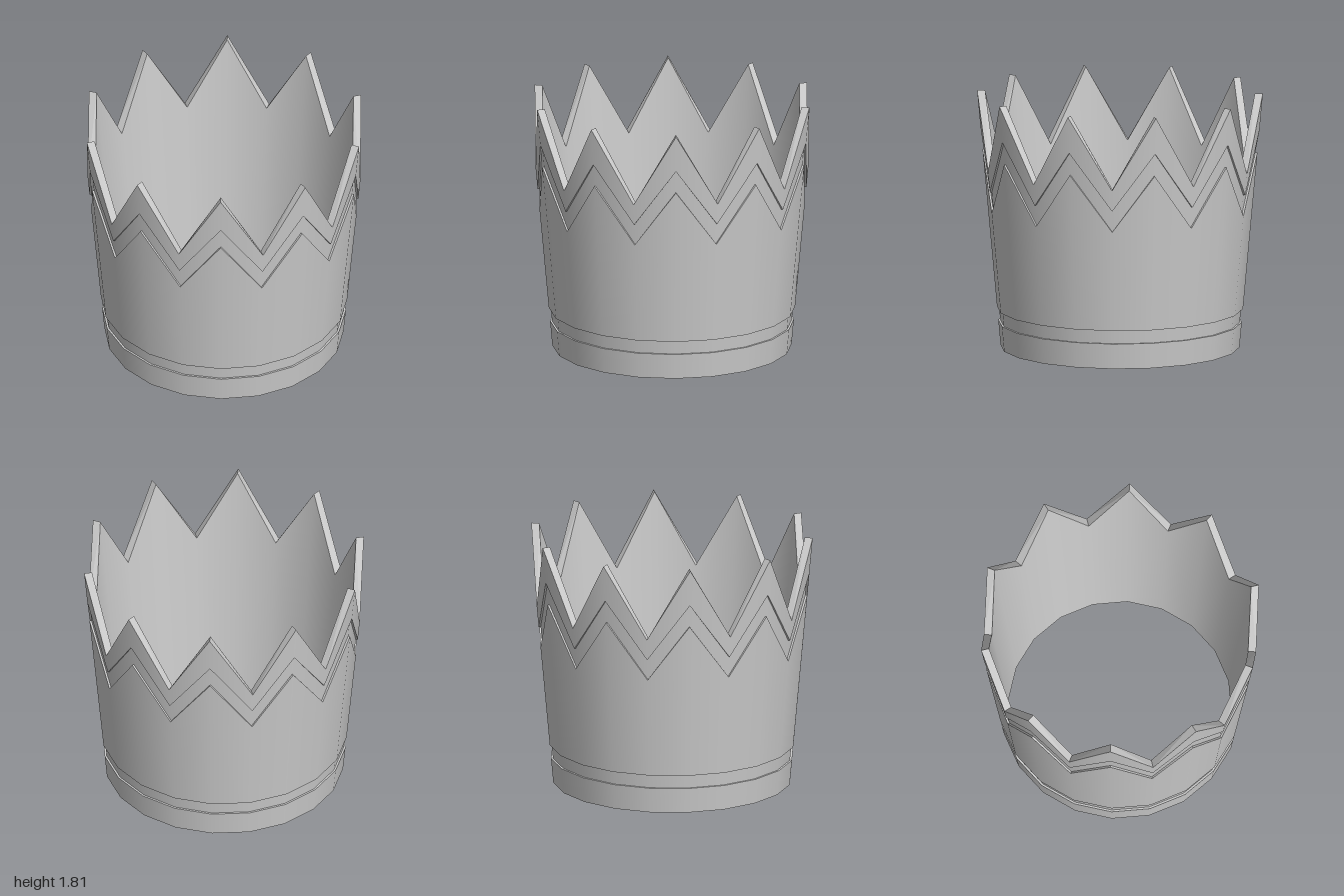
import * as THREE from 'three';

const SIDES = 20; // two per spike, ten spikes
const THICK = 0.056;
const GROOVE = 0.014;

// The wall flares outwards evenly with height
const wallRadius = (y) => 0.836 + 0.0906 * y;

// A ring of points: height alternates between peak and valley, inset from the wall
function ring(peak, valley, inset) {
  return Array.from({ length: SIDES }, (_, i) => {
    const a = (i / SIDES) * Math.PI * 2;
    const y = i % 2 ? valley : peak;
    const r = wallRadius(y) - inset;
    return new THREE.Vector3(Math.sin(a) * r, y, Math.cos(a) * r);
  });
}

// Surface between two rings; flat for steps and rims, smooth for walls
function strip(from, to, flat) {
  const geo = new THREE.BufferGeometry().setFromPoints([...from, ...to]);
  const index = [];
  for (let i = 0; i < SIDES; i++) {
    const j = (i + 1) % SIDES;
    // mirror the diagonal so every spike is symmetric
    if (i % 2) index.push(i, j, SIDES + j, i, SIDES + j, SIDES + i);
    else index.push(i, j, SIDES + i, j, SIDES + j, SIDES + i);
  }
  geo.setIndex(index);
  const result = flat ? geo.toNonIndexed() : geo;
  result.computeVertexNormals();
  return result;
}

export function createModel() {
  const group = new THREE.Group();
  group.name = 'crown';
  const material = new THREE.MeshStandardMaterial({ color: 0xcccccc });

  // Walk round the wall section: up the outside, over the rim, down the inside
  const start = ring(0, 0, 0);
  const sections = [
    // name, peak height, valley height, inset, flat
    ['baseBand', 0.18, 0.18, 0, false],
    ['baseBandStep', 0.18, 0.18, GROOVE, true],
    ['lowerGroove', 0.275, 0.275, GROOVE, false],
    ['bodyLowerStep', 0.275, 0.275, 0, true],
    ['body', 1.39, 0.99, 0, false],
    ['bodyUpperStep', 1.39, 0.99, GROOVE, true],
    ['zigzagGroove', 1.55, 1.14, GROOVE, false],
    ['spikeBandStep', 1.55, 1.14, 0, true],
    ['spikeBand', 1.81, 1.29, 0, false],
    ['spikeRim', 1.81, 1.29, THICK, true],
    ['innerWall', 0, 0, THICK, false],
  ];

  let previous = start;
  const add = (name, next, flat) => {
    const mesh = new THREE.Mesh(strip(previous, next, flat), material);
    mesh.name = name;
    group.add(mesh);
    previous = next;
  };
  for (const [name, peak, valley, inset, flat] of sections) {
    add(name, ring(peak, valley, inset), flat);
  }
  add('underside', start, true);

  return group;
}
